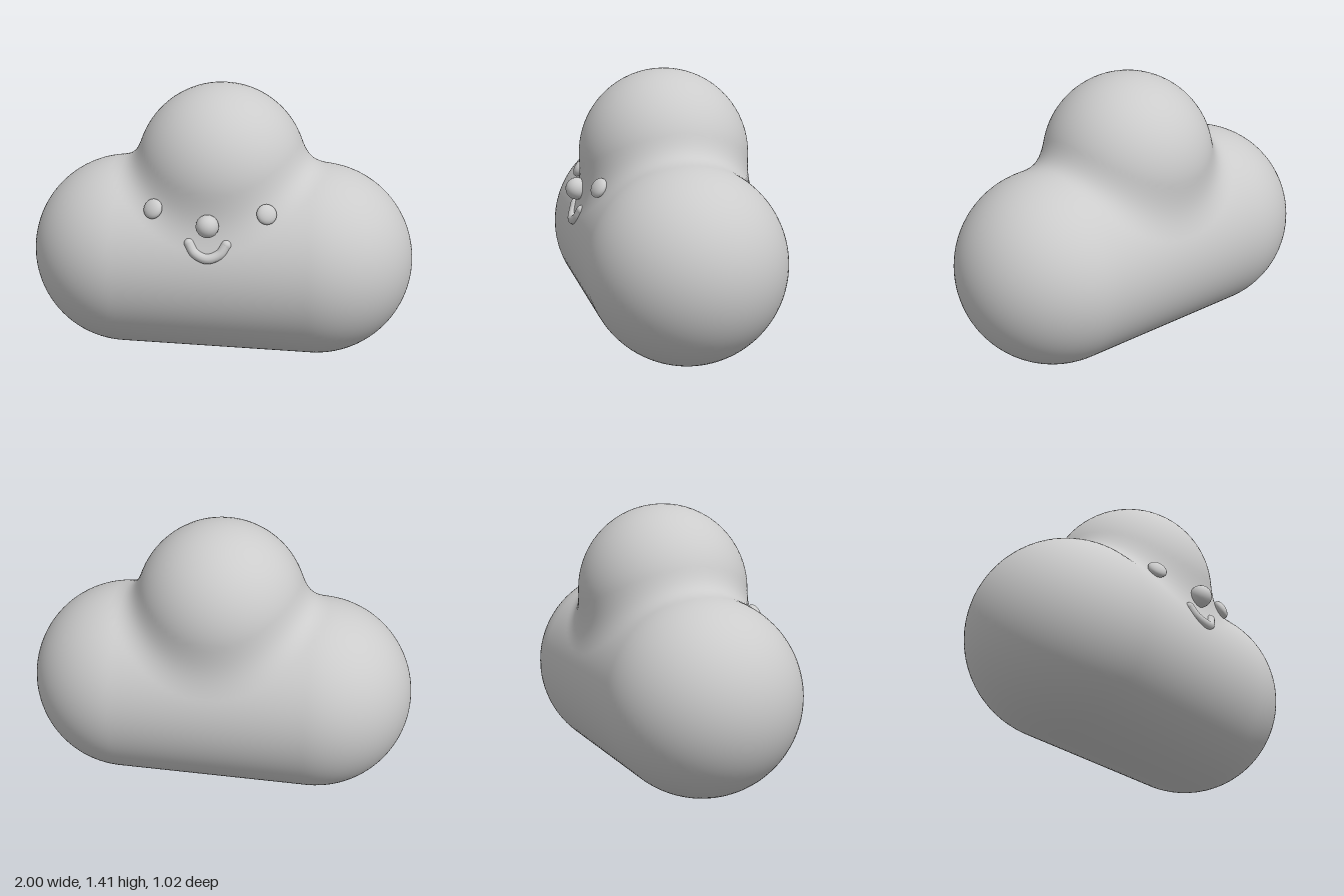
import * as THREE from 'three';

const material = new THREE.MeshStandardMaterial({ color: 0xcccccc });
const BODY_Z = -0.005;

// Signed distance to a lying capsule softly blended with a round top
function distance(x, y, z) {
  const dx = Math.max(Math.abs(x) - 0.5, 0);
  const capsule = Math.hypot(dx, y - 0.5, z) - 0.5;
  const head = Math.hypot(x, y - 0.97, z) - 0.44;
  const k = 0.125;
  const h = Math.max(k - Math.abs(capsule - head), 0) / k;
  return Math.min(capsule, head) - h * h * k / 4;
}

// Push each vertex of a sphere out to the blended surface
function cloudGeometry() {
  const geometry = new THREE.SphereGeometry(1, 128, 96);
  geometry.rotateZ(Math.PI / 2);
  const pos = geometry.attributes.position;
  const normal = geometry.attributes.normal;
  const v = new THREE.Vector3();
  const n = new THREE.Vector3();
  const e = 0.004;
  for (let i = 0; i < pos.count; i++) {
    v.fromBufferAttribute(pos, i).normalize();
    let lo = 0, hi = 1.5;
    for (let s = 0; s < 24; s++) {
      const t = (lo + hi) / 2;
      if (distance(v.x * t, 0.6 + v.y * t, v.z * t) < 0) lo = t;
      else hi = t;
    }
    v.multiplyScalar(lo);
    v.y += 0.6;
    n.set(
      distance(v.x + e, v.y, v.z) - distance(v.x - e, v.y, v.z),
      distance(v.x, v.y + e, v.z) - distance(v.x, v.y - e, v.z),
      distance(v.x, v.y, v.z + e) - distance(v.x, v.y, v.z - e)
    ).normalize();
    pos.setXYZ(i, v.x, v.y, v.z);
    normal.setXYZ(i, n.x, n.y, n.z);
  }
  return geometry;
}

function ball(name, radius, x, y, z) {
  const mesh = new THREE.Mesh(new THREE.SphereGeometry(radius, 24, 16), material);
  mesh.name = name;
  mesh.position.set(x, y, z);
  return mesh;
}

export function createModel() {
  const model = new THREE.Group();
  model.name = 'cloud';

  const body = new THREE.Mesh(cloudGeometry(), material);
  body.name = 'cloudBody';
  body.position.z = BODY_Z;
  model.add(body);

  // Flattened eyes lying along the surface
  for (const side of [-1, 1]) {
    const eye = ball(side > 0 ? 'leftEye' : 'rightEye', 0.051, side * 0.284, 0.855, 0.39);
    eye.scale.z = 0.55;
    eye.rotation.set(-0.5, side * 0.4, 0, 'YXZ');
    model.add(eye);
  }

  model.add(ball('nose', 0.057, 0, 0.8, 0.455));

  // Smile with rounded ends
  const smile = new THREE.Group();
  smile.name = 'smile';
  const points = [[-0.093, 0.705, 0.447], [-0.062, 0.66, 0.464], [0, 0.638, 0.478],
    [0.062, 0.66, 0.464], [0.093, 0.705, 0.447]].map(p => new THREE.Vector3(...p));
  const curve = new THREE.CatmullRomCurve3(points);
  const lips = new THREE.Mesh(new THREE.TubeGeometry(curve, 32, 0.025, 12), material);
  lips.name = 'smileCurve';
  smile.add(lips);
  for (const p of [points[0], points[4]]) smile.add(ball('smileEnd', 0.025, p.x, p.y, p.z));
  model.add(smile);

  return model;
}
